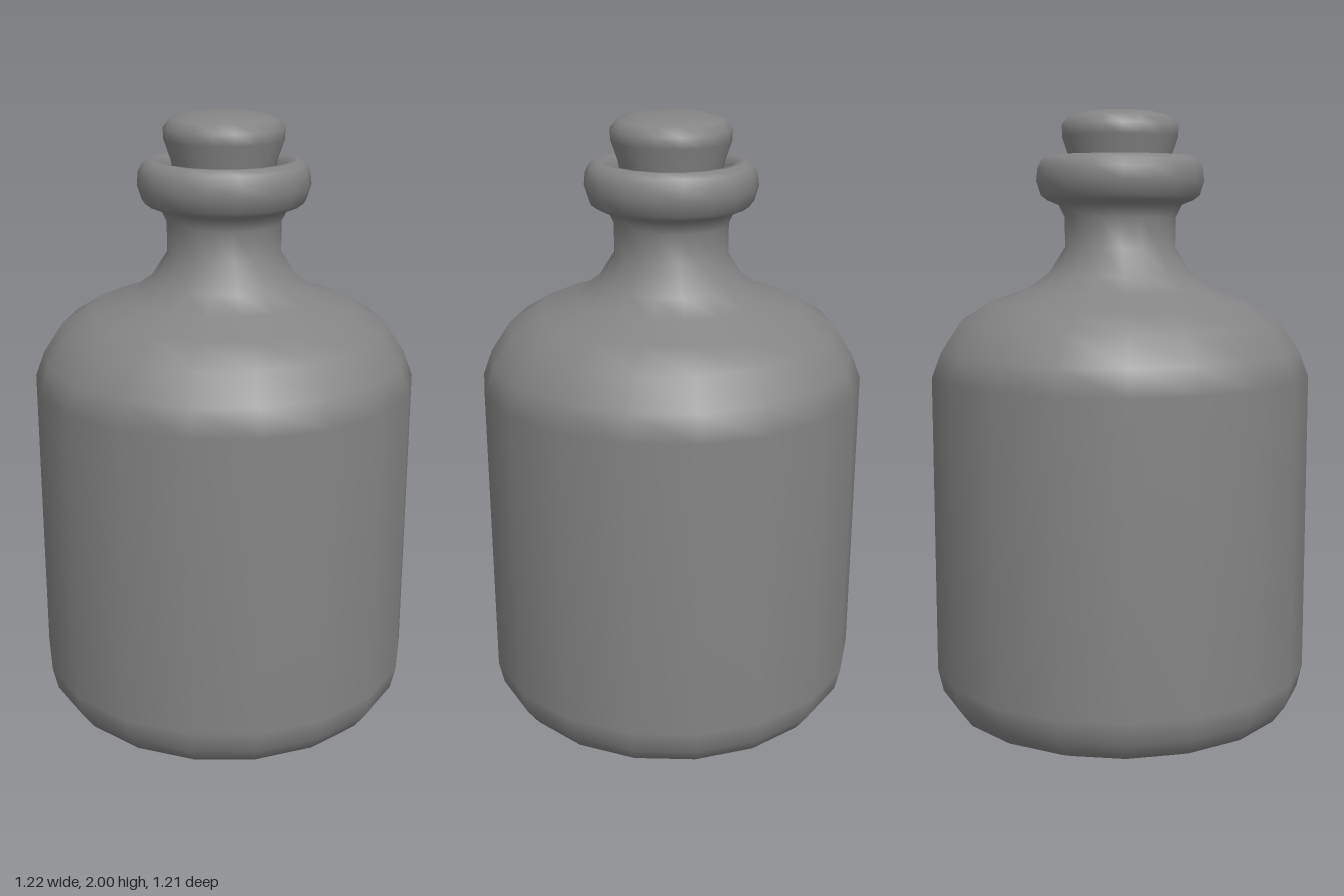
import * as THREE from 'three';

const SIDES = 18;

// Turned part from [radius, height] points, running bottom to top on the outside
function turned(name, points, material) {
  const profile = points.map(([r, y]) => new THREE.Vector2(r, y));
  const mesh = new THREE.Mesh(new THREE.LatheGeometry(profile, SIDES, Math.PI / 2), material);
  mesh.name = name;
  return mesh;
}

export function createModel() {
  const group = new THREE.Group();
  group.name = 'corkedBottle';
  const material = new THREE.MeshStandardMaterial({ color: 0x848484, side: THREE.DoubleSide });

  // One smooth skin: base, straight wall, shoulder, neck, rolled lip and mouth
  group.add(turned('body', [
    [0, 0.015], [0.2, 0.01], [0.33, 0], [0.48, 0.027], [0.555, 0.06],
    [0.595, 0.115], [0.612, 0.19], [0.612, 1.155], [0.582, 1.235], [0.52, 1.33],
    [0.425, 1.388], [0.305, 1.43], [0.235, 1.48], [0.18, 1.565],
    [0.18, 1.66], [0.2, 1.7], [0.237, 1.715],
    [0.257, 1.73], [0.271, 1.775], [0.267, 1.815], [0.255, 1.84], [0.232, 1.855],
    [0.203, 1.852], [0.19, 1.825], [0.172, 1.77], [0.17, 1.62],
  ], material));

  // Tapered stopper with a rounded head
  group.add(turned('stopper', [
    [0, 1.66], [0.13, 1.66], [0.165, 1.85], [0.187, 1.915], [0.188, 1.95],
    [0.165, 1.978], [0.11, 1.993], [0, 2],
  ], material));

  return group;
}
